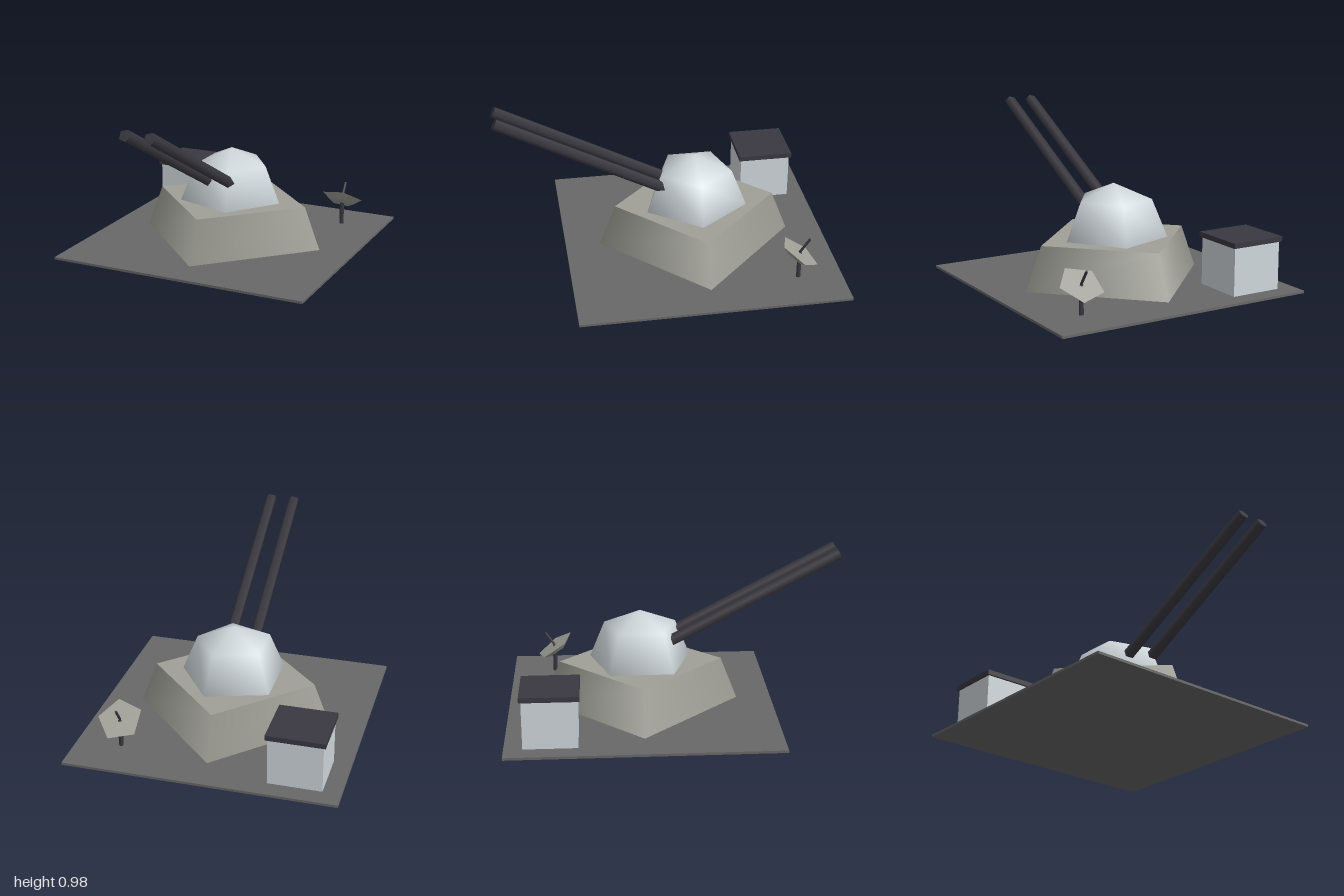
import * as THREE from 'three';

const material = (name, color) => {
  const m = new THREE.MeshStandardMaterial({ color });
  m.name = name;
  return m;
};

export function createModel() {
  const group = new THREE.Group();
  const ground = material('slabGrey', 0x686868);
  const concrete = material('concreteGrey', 0xa0a098);
  const pale = material('paleGrey', 0xd0d8dc);
  const dark = material('darkMetal', 0x3a3840);

  const add = (name, geometry, mat, x, y, z, parent = group) => {
    const mesh = new THREE.Mesh(geometry, mat);
    mesh.name = name;
    mesh.position.set(x, y, z);
    parent.add(mesh);
    return mesh;
  };
  // Five-sided tapered prism with one corner towards +x
  const prism = (top, bottom, height) =>
    new THREE.CylinderGeometry(top, bottom, height, 5, 1, false, Math.PI / 2);

  // Ground slab
  add('slab', new THREE.BoxGeometry(1.6, 0.015, 1.6), ground, 0, 0.0075, -0.2);

  // Four-sided sloping pedestal
  add('pedestal', new THREE.CylinderGeometry(0.49, 0.59, 0.26, 4), concrete, 0, 0.145, -0.2);

  // Five-sided smooth dome
  add('dome', new THREE.SphereGeometry(0.32, 5, 2, Math.PI, Math.PI * 2, 0, Math.PI / 2),
    pale, 0, 0.275, -0.2);

  // Twin raised barrels, rooted inside the dome
  const start = new THREE.Vector3(0, 0.403, -0.05);
  const end = new THREE.Vector3(0, 0.947, 0.983);
  const axis = end.clone().sub(start);
  const middle = start.clone().add(end).multiplyScalar(0.5);
  for (const side of [-1, 1]) {
    const barrel = add(side > 0 ? 'leftBarrel' : 'rightBarrel', prism(0.036, 0.036, axis.length()),
      dark, side * 0.075, middle.y, middle.z);
    barrel.rotation.x = Math.atan2(axis.z, axis.y);
  }

  // Equipment hut
  add('hutWalls', new THREE.BoxGeometry(0.315, 0.285, 0.315), pale, -0.535, 0.1575, -0.735);
  add('hutRoof', new THREE.BoxGeometry(0.34, 0.03, 0.34), dark, -0.535, 0.315, -0.735);

  // Tilted dish on a post, with its feed rod
  add('dishPost', prism(0.014, 0.014, 0.17), dark, 0.535, 0.1, -0.735);
  const dish = new THREE.Group();
  dish.name = 'dishAssembly';
  dish.position.set(0.535, 0.187, -0.735);
  dish.rotation.x = -0.6;
  group.add(dish);
  add('dish', prism(0.133, 0.08, 0.03), concrete, 0, -0.015, 0, dish);
  add('feedRod', prism(0.008, 0.008, 0.105), dark, 0, 0.0525, 0, dish);

  return group;
}
